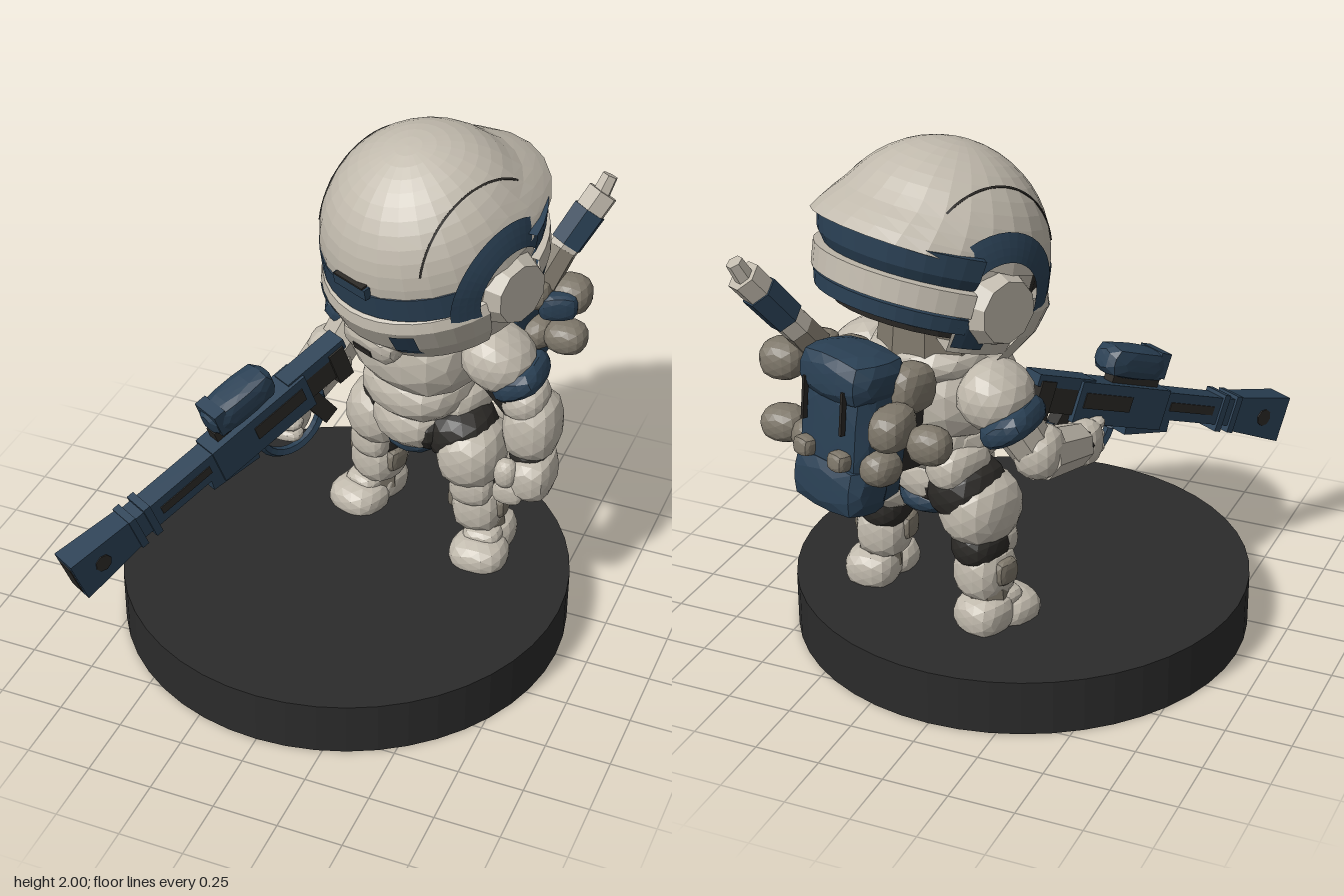
import * as THREE from 'three';

const mat = (name, color) => Object.assign(new THREE.MeshStandardMaterial({ color, side: THREE.DoubleSide }), { name });
const ARMOR = mat('bone armor', 0xc1baad);
const BLUE = mat('navy paint', 0x2a4054);
const GREY = mat('worn stone grey', 0x7f786b);
const DARK = mat('dark undersuit', 0x2b2926);
const BASE = mat('charcoal base', 0x2b2b2b);

// Adds a mesh with faceted normals
function add(parent, name, geo, material, pos = [0, 0, 0], rot = [0, 0, 0]) {
  const g = geo.index ? geo.toNonIndexed() : geo;
  g.computeVertexNormals();
  const m = new THREE.Mesh(g, material);
  m.name = name;
  m.position.set(...pos);
  m.rotation.set(rot[0], rot[1], rot[2], 'YXZ');
  parent.add(m);
  return m;
}

// Faceted ellipsoid; higher n makes it boxier
function blob(parent, name, material, pos, size, n = 2.5, rot) {
  const g = new THREE.IcosahedronGeometry(1, 2), p = g.attributes.position;
  for (let i = 0; i < p.count; i++) {
    const v = new THREE.Vector3().fromBufferAttribute(p, i);
    const k = (Math.abs(v.x) ** n + Math.abs(v.y) ** n + Math.abs(v.z) ** n) ** (-1 / n);
    p.setXYZ(i, v.x * k * size[0], v.y * k * size[1], v.z * k * size[2]);
  }
  return add(parent, name, g, material, pos, rot);
}

const box = (parent, name, material, pos, size, rot) =>
  add(parent, name, new THREE.BoxGeometry(...size), material, pos, rot);

// Tapered cylinder from a to b
function limb(parent, name, material, a, b, ra, rb = ra, sides = 8) {
  const A = new THREE.Vector3(...a), B = new THREE.Vector3(...b), d = B.clone().sub(A);
  const m = add(parent, name, new THREE.CylinderGeometry(rb, ra, d.length(), sides), material);
  m.position.copy(A).add(B).multiplyScalar(0.5);
  m.quaternion.setFromUnitVectors(new THREE.Vector3(0, 1, 0), d.normalize());
  return m;
}

// Curved band; angle 0 is the front
const band = (parent, name, material, profile, from, to, segs = 16) =>
  add(parent, name, new THREE.LatheGeometry(profile.map(q => new THREE.Vector2(...q)), segs, from, to - from), material);

function frame(parent, name, pos, pitch, yaw) {
  const g = new THREE.Group();
  g.name = name;
  g.position.set(...pos);
  g.rotation.set(pitch, yaw, 0, 'YXZ');
  parent.add(g);
  return g;
}

// Painted arch above the ear, wrapped onto the dome
function earArch(parent, s) {
  const g = new THREE.RingGeometry(0.16, 0.26, 18, 4, -0.15, 2.75), p = g.attributes.position;
  for (let i = 0; i < p.count; i++) {
    const w = p.getX(i) - 0.01, v = p.getY(i) - 0.08;
    p.setXYZ(i, s * Math.sqrt(0.424 ** 2 - w * w - Math.max(0, v) ** 2), v, w);
  }
  add(parent, 'earArch', g, BLUE);
}

function buildHelmet(root) {
  const h = frame(root, 'helmet', [0.21, 1.59, -0.3], 0.3, -0.46);
  // Dome, flared at the back into a raised brim
  const dome = new THREE.SphereGeometry(0.412, 26, 12, 0, Math.PI * 2, 0, Math.PI / 2 - 0.08);
  const p = dome.attributes.position;
  for (let i = 0; i < p.count; i++) {
    const t = Math.max(0, -p.getZ(i) / 0.41) * Math.max(0, 1 - p.getY(i) / 0.2);
    p.setXYZ(i, p.getX(i) * (1 + 0.06 * t), p.getY(i) + 0.06 * t, p.getZ(i) - 0.1 * t);
  }
  add(h, 'helmetDome', dome, ARMOR);
  band(h, 'helmetCore', DARK, [[0, -0.23], [0.33, -0.23], [0.375, -0.1], [0.385, 0.06], [0, 0.08]], 0, Math.PI * 2, 24);
  // Visor and its raised centre
  band(h, 'visor', BLUE, [[0.38, -0.07], [0.422, -0.05], [0.412, 0.045], [0.38, 0.05]], -1.2, 1.2);
  box(h, 'visorNotch', BLUE, [0.02, 0.06, 0.402], [0.17, 0.045, 0.03], [-0.1, 0, 0]);
  box(h, 'notchShadow', DARK, [0.02, 0.086, 0.402], [0.15, 0.008, 0.03], [-0.1, 0, 0]);
  // Jaw guard, narrower from side to side
  const jaw = frame(h, 'jawGuard', [0, 0, 0], 0, 0);
  jaw.scale.x = 0.94;
  band(jaw, 'jaw', ARMOR, [[0.12, -0.27], [0.36, -0.305], [0.425, -0.2], [0.45, -0.1], [0.435, -0.06], [0.38, -0.04]], -1.3, 1.3, 16);
  blob(jaw, 'chin', ARMOR, [0, -0.255, 0.37], [0.14, 0.06, 0.06], 4);
  box(jaw, 'mouthVent', DARK, [0, -0.265, 0.43], [0.1, 0.03, 0.008]);
  // Neck guard layers
  const B = [1.9, Math.PI * 2 - 1.9];
  band(h, 'underBrim', BLUE, [[0.4, -0.04], [0.43, 0.0], [0.45, 0.08], [0.38, 0.085]], ...B);
  band(h, 'neckRing', ARMOR, [[0.37, -0.14], [0.425, -0.13], [0.435, -0.045], [0.38, -0.035]], ...B);
  band(h, 'neckBand', BLUE, [[0.34, -0.21], [0.4, -0.195], [0.415, -0.14], [0.37, -0.135]], ...B);
  for (const s of [-1, 1]) {
    band(jaw, 'cheekPatch', BLUE, [[0.395, -0.25], [0.432, -0.2], [0.455, -0.11]], s * 0.53 - 0.11, s * 0.53 + 0.11, 3);
    // Side hinge below and behind the ear
    const [a, b] = s > 0 ? [1.25, 2.0] : [-2.0, -1.25];
    band(h, 'jawHinge', ARMOR, [[0.2, -0.26], [0.36, -0.27], [0.395, -0.15], [0.4, 0.05]], a, b, 6);
    band(h, 'hingePatch', BLUE, [[0.372, -0.25], [0.406, -0.17], [0.41, -0.12]], s * 1.82 - 0.16, s * 1.82 + 0.16, 3);
    // Ear cup
    add(h, 'earCup', new THREE.CylinderGeometry(0.115, 0.155, 0.1, 10).rotateZ(-s * Math.PI / 2), ARMOR, [s * 0.395, -0.09, -0.01]);
    earArch(h, s);
    // Panel seam
    add(h, 'domeSeam', new THREE.TorusGeometry(0.308, 0.006, 4, 24, 2.1).rotateZ(0.6).rotateY(Math.PI / 2), DARK, [s * 0.27, 0, 0]);
  }
}

function buildTorso(root) {
  const t = frame(root, 'torso', [0.18, 0, -0.34], 0, -0.38);
  add(t, 'neck', new THREE.CylinderGeometry(0.2, 0.22, 0.2, 10), GREY, [0, 1.32, -0.02]);
  blob(t, 'collar', ARMOR, [0, 1.25, -0.02], [0.23, 0.09, 0.22]);
  blob(t, 'chest', ARMOR, [0, 1.11, 0.02], [0.265, 0.19, 0.225], 2.8);
  blob(t, 'waist', ARMOR, [0, 0.92, -0.02], [0.2, 0.14, 0.18]);
  blob(t, 'belly', ARMOR, [0, 0.91, 0.025], [0.215, 0.12, 0.195]);
  blob(t, 'hipSuit', DARK, [0, 0.75, 0], [0.2, 0.11, 0.165]);
  blob(t, 'pelvis', ARMOR, [0, 0.765, 0.01], [0.165, 0.125, 0.185]);
  blob(t, 'loinGuard', BLUE, [0, 0.67, -0.01], [0.12, 0.065, 0.16]);
  for (const s of [-1, 1])
    blob(t, 'hipPlate', ARMOR, [s * 0.15, 0.84, -0.06], [0.09, 0.09, 0.12], 3);

  // Backpack
  const b = frame(t, 'backpack', [0, 1.08, -0.42], 0.1, 0);
  blob(b, 'packBody', BLUE, [0, -0.02, 0], [0.17, 0.28, 0.13], 5);
  blob(b, 'packLid', BLUE, [0, 0.2, -0.02], [0.175, 0.09, 0.135], 4);
  box(b, 'packSpacer', DARK, [0, 0, 0.15], [0.24, 0.36, 0.14]);
  blob(b, 'packLowerPocket', BLUE, [0, -0.2, -0.05], [0.175, 0.1, 0.1], 5);
  for (const s of [-1, 1]) {
    box(b, 'packSeam', DARK, [s * 0.1, 0.1, -0.145], [0.012, 0.16, 0.02]);
    blob(b, 'packBuckle', GREY, [s * 0.09, -0.08, -0.14], [0.04, 0.035, 0.035], 4);
    blob(b, 'sideKnob', GREY, [s * 0.18, -0.1, -0.03], [0.07, 0.065, 0.075]);
    blob(b, 'shoulderBracket', GREY, [s * 0.16, 0.16, 0.11], [0.07, 0.09, 0.09], 3);
  }

  // Gear slung on both sides of the pack
  blob(root, 'canister', GREY, [0.66, 1.23, -0.63], [0.085, 0.075, 0.08], 2.6);
  blob(root, 'canister', GREY, [0.64, 1.0, -0.68], [0.085, 0.065, 0.075], 2.6);
  blob(root, 'bluePouch', BLUE, [0.64, 1.22, -0.54], [0.075, 0.055, 0.04], 3.5, [0, 0.4, 0]);
  blob(root, 'gearLug', GREY, [0.55, 1.26, -0.54], [0.06, 0.06, 0.06], 3);
  blob(root, 'bedroll', GREY, [0.0, 1.1, -0.82], [0.08, 0.07, 0.065]);
  blob(root, 'bedroll', GREY, [0.13, 1.15, -0.84], [0.07, 0.075, 0.1], 3);
  // Tool handle
  limb(root, 'handleSocket', GREY, [0.56, 1.28, -0.58], [0.61, 1.4, -0.66], 0.065, 0.06, 6);
  limb(root, 'handleGrip', ARMOR, [0.59, 1.36, -0.64], [0.715, 1.6, -0.79], 0.06, 0.065, 6);
  limb(root, 'handleWrap', BLUE, [0.617, 1.415, -0.675], [0.68, 1.535, -0.75], 0.068, 0.071, 6);
  limb(root, 'handleTip', ARMOR, [0.7, 1.57, -0.78], [0.73, 1.66, -0.82], 0.038, 0.032, 6);
}

function buildLeg(root, x, z, footX, yaw) {
  const g = frame(root, 'leg', [x, 0, z], 0, yaw);
  const fx = footX - x;
  blob(g, 'hipJoint', DARK, [-Math.sign(fx) * 0.05, 0.74, -0.02], [0.135, 0.12, 0.145]);
  blob(g, 'thigh', ARMOR, [0, 0.67, 0], [0.13, 0.14, 0.155], 2.6);
  blob(g, 'kneeJoint', DARK, [fx * 0.3, 0.53, -0.02], [0.095, 0.09, 0.11]);
  blob(g, 'kneePad', ARMOR, [fx * 0.3, 0.535, 0.06], [0.085, 0.075, 0.06], 3);
  blob(g, 'shin', ARMOR, [fx * 0.5, 0.42, -0.01], [0.1, 0.11, 0.11], 3);
  for (const s of [-1, 1]) blob(g, 'shinStud', GREY, [fx * 0.5 + s * 0.09, 0.44, 0], [0.03, 0.05, 0.05], 4);
  add(g, 'ankle', new THREE.CylinderGeometry(0.08, 0.09, 0.1, 8), GREY, [fx * 0.8, 0.32, -0.02]);
  blob(g, 'heel', ARMOR, [fx, 0.265, -0.05], [0.1, 0.08, 0.1], 3);
  blob(g, 'toeCap', ARMOR, [fx, 0.24, 0.08], [0.115, 0.075, 0.11], 2.6);
  blob(g, 'instep', ARMOR, [fx, 0.3, 0.04], [0.075, 0.045, 0.07], 3);
}

function buildArms(root) {
  // Left arm hanging
  const L = frame(root, 'leftArm', [0, 0, 0], 0, 0);
  limb(L, 'upperArm', DARK, [0.45, 1.16, -0.26], [0.62, 0.95, -0.25], 0.1, 0.085);
  blob(L, 'shoulderPad', ARMOR, [0.51, 1.14, -0.25], [0.14, 0.115, 0.145], 2.4, [0, 0, -0.5]);
  blob(L, 'shoulderBand', BLUE, [0.6, 1.075, -0.25], [0.1, 0.055, 0.13], 3.5, [0, 0, 0.5]);
  blob(L, 'elbowGuard', ARMOR, [0.62, 0.98, -0.26], [0.09, 0.08, 0.11]);
  blob(L, 'forearm', ARMOR, [0.65, 0.86, -0.27], [0.108, 0.14, 0.125], 2.8);
  blob(L, 'wrist', DARK, [0.65, 0.74, -0.25], [0.075, 0.05, 0.085]);
  blob(L, 'fist', ARMOR, [0.67, 0.66, -0.24], [0.085, 0.095, 0.12], 3.2);
  for (let i = 0; i < 4; i++)
    blob(L, 'finger', ARMOR, [0.6, 0.6, -0.15 - i * 0.055], [0.06, 0.05, 0.028], 3);
  blob(L, 'thumb', ARMOR, [0.59, 0.69, -0.15], [0.045, 0.06, 0.045], 2.5);

  // Right arm bent to the grip
  const R = frame(root, 'rightArm', [0, 0, 0], 0, 0);
  limb(R, 'upperArm', ARMOR, [-0.1, 1.14, -0.46], [-0.2, 0.92, -0.38], 0.1, 0.085);
  blob(R, 'shoulderPad', ARMOR, [-0.09, 1.15, -0.46], [0.13, 0.12, 0.15], 2.4, [0, 0, 0.5]);
  blob(R, 'shoulderBand', BLUE, [-0.17, 1.07, -0.49], [0.1, 0.055, 0.14], 3.5, [0, 0, -0.5]);
  blob(R, 'elbowGuard', ARMOR, [-0.22, 0.91, -0.37], [0.09, 0.1, 0.1]);
  limb(R, 'forearm', ARMOR, [-0.22, 0.9, -0.38], [-0.26, 0.83, -0.13], 0.1, 0.085);
  limb(R, 'wrist', DARK, [-0.26, 0.84, -0.15], [-0.26, 0.82, -0.08], 0.07);
  blob(R, 'hand', ARMOR, [-0.26, 0.81, -0.06], [0.075, 0.085, 0.08], 3);
  for (let i = 0; i < 3; i++)
    blob(R, 'finger', ARMOR, [-0.25, 0.86 - i * 0.05, 0.01], [0.07, 0.026, 0.045], 3);
}

function buildRifle(root) {
  const g = frame(root, 'rifle', [-0.13, 1.03, -0.15], 0.365, -0.508);
  // Flared muzzle block with side ports and bore
  const muzzle = new THREE.BoxGeometry(0.11, 0.185, 0.28), p = muzzle.attributes.position;
  for (let i = 0; i < p.count; i++) if (p.getZ(i) < 0) { p.setX(i, p.getX(i) * 0.85); p.setY(i, p.getY(i) * 0.75); }
  add(g, 'muzzleBlock', muzzle, BLUE, [0, 0, 1.145]);
  box(g, 'bore', DARK, [0, 0, 1.286], [0.07, 0.13, 0.006]);
  limb(g, 'muzzlePort', DARK, [-0.056, 0, 1.17], [0.056, 0, 1.17], 0.035);
  for (const z of [0.93, 1.0]) box(g, 'collar', BLUE, [0, 0, z], [0.11, 0.15, 0.03]);
  box(g, 'barrelShroud', BLUE, [0, 0.005, 0.78], [0.09, 0.11, 0.46]);
  for (const s of [-1, 1]) {
    box(g, 'shroudSlot', DARK, [s * 0.046, 0.005, 0.76], [0.006, 0.035, 0.24]);
    box(g, 'receiverPanel', DARK, [s * 0.056, 0.0, 0.3], [0.006, 0.06, 0.24]);
  }
  // Receiver, rail and scope
  box(g, 'receiver', BLUE, [0, -0.01, 0.38], [0.11, 0.16, 0.46]);
  box(g, 'handguard', BLUE, [0, -0.07, 0.55], [0.09, 0.08, 0.22], [-0.12, 0, 0]);
  box(g, 'rail', DARK, [0, 0.085, 0.44], [0.05, 0.06, 0.24]);
  blob(g, 'scope', BLUE, [0, 0.155, 0.41], [0.07, 0.06, 0.15], 5);
  box(g, 'scopeHood', BLUE, [0, 0.165, 0.52], [0.125, 0.1, 0.05]);
  // Stock and grip
  box(g, 'stockBar', DARK, [0, 0, 0.1], [0.08, 0.13, 0.28]);
  box(g, 'stockTop', BLUE, [0, 0.055, 0.08], [0.085, 0.045, 0.28]);
  box(g, 'buttPlate', DARK, [0, -0.02, -0.01], [0.1, 0.15, 0.07]);
  box(g, 'pistolGrip', DARK, [0, -0.14, 0.13], [0.06, 0.18, 0.07], [0.3, 0, 0]);
  add(g, 'leverLoop', new THREE.TorusGeometry(0.15, 0.02, 5, 14, Math.PI).rotateZ(Math.PI).rotateY(Math.PI / 2), BLUE, [0, -0.11, 0.25]);
}

export function createModel() {
  const root = new THREE.Group();
  root.name = 'armoredTrooper';
  add(root, 'displayBase', new THREE.CylinderGeometry(0.875, 0.875, 0.215, 48), BASE, [0, 0.1075, 0]);
  buildHelmet(root);
  buildTorso(root);
  buildLeg(root, 0.41, -0.28, 0.48, 0);
  buildLeg(root, -0.01, -0.42, -0.07, -0.35);
  buildArms(root);
  buildRifle(root);
  return root;
}
